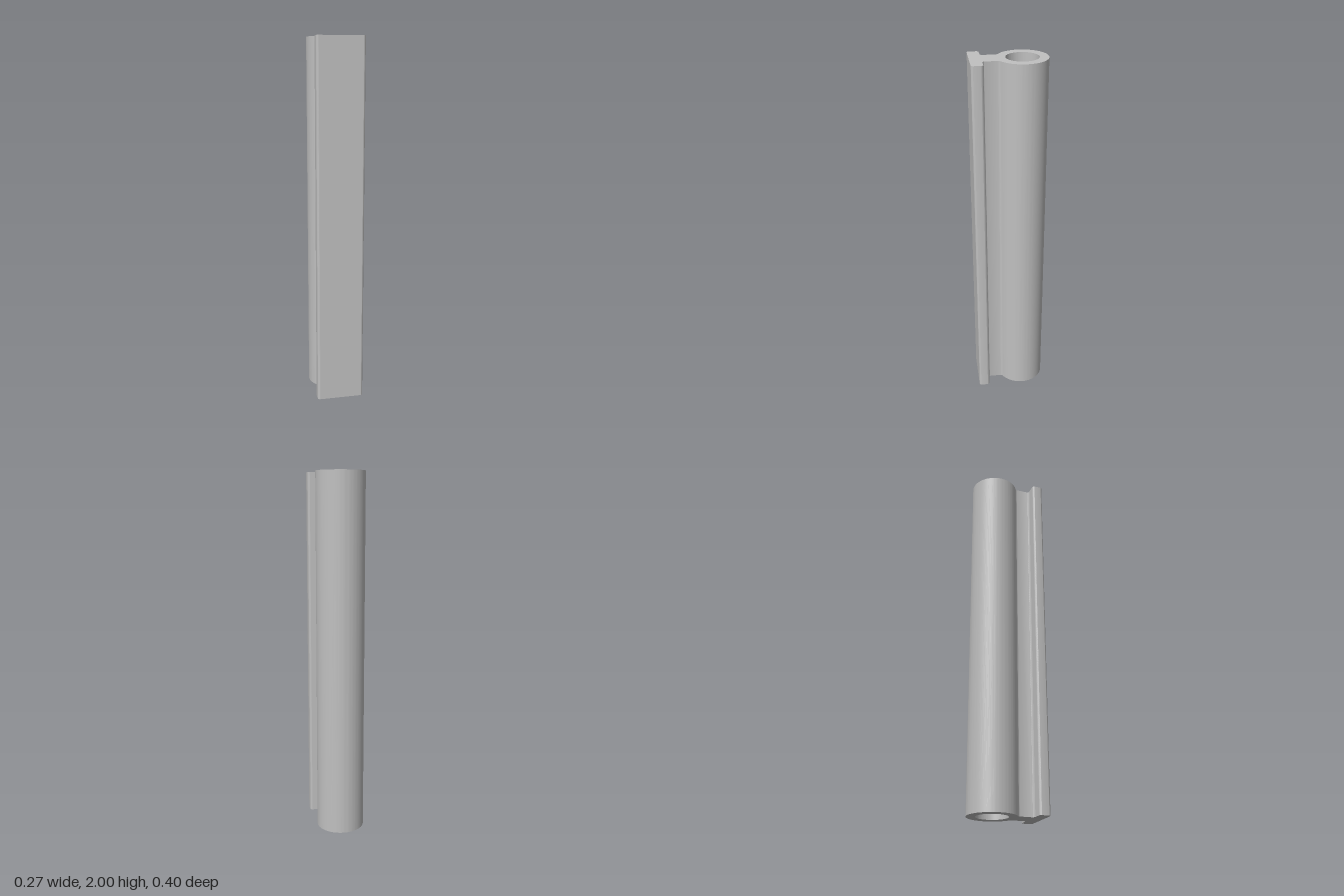
import * as THREE from 'three';
import { toCreasedNormals } from 'three/addons/utils/BufferGeometryUtils.js';

const LENGTH = 2;
const RING = { y: 0.067, outer: 0.133, inner: 0.085 };
const STEM = 0.058; // half width of the neck
const FLANGE = { half: 0.13, front: -0.2, back: -0.139 };
const ROUND = 0.013; // flange corner radius
const FILLET = 0.015; // neck-to-flange fillet

// Cross-section drawn in x and -z, counter-clockwise
function profile() {
  const s = new THREE.Shape();
  const { half, front, back } = FLANGE;
  const a = -1.033; // where the ring meets the neck
  const px = RING.outer * Math.cos(a);
  const py = RING.y + RING.outer * Math.sin(a);
  const cy = py - ((px - STEM) * Math.cos(a)) / -Math.sin(a);
  const q = Math.PI / 2;

  // flange front and right end
  s.moveTo(-half + ROUND, front);
  s.lineTo(half - ROUND, front);
  s.absarc(half - ROUND, front + ROUND, ROUND, -q, 0, false);
  s.absarc(half - ROUND, back - ROUND, ROUND, 0, q, false);
  // right side of the neck
  s.absarc(STEM + FILLET, back + FILLET, FILLET, -q, -2 * q, true);
  s.lineTo(STEM, cy - 0.009);
  s.quadraticCurveTo(STEM, cy, px, py);
  // ring
  s.absarc(0, RING.y, RING.outer, a, Math.PI - a, false);
  // left side of the neck
  s.quadraticCurveTo(-STEM, cy, -STEM, cy - 0.009);
  s.absarc(-STEM - FILLET, back + FILLET, FILLET, 0, -q, true);
  // flange left end
  s.absarc(-half + ROUND, back - ROUND, ROUND, q, 2 * q, false);
  s.absarc(-half + ROUND, front + ROUND, ROUND, 2 * q, 3 * q, false);

  // bore
  const bore = new THREE.Path();
  bore.absarc(0, RING.y, RING.inner, 0, Math.PI * 2, true);
  s.holes.push(bore);
  return s;
}

export function createModel() {
  const group = new THREE.Group();
  group.name = 'extrudedRail';
  const metal = new THREE.MeshStandardMaterial({ color: 0xc0c0c0 });
  metal.name = 'light grey';

  const extruded = new THREE.ExtrudeGeometry(profile(), {
    depth: LENGTH,
    bevelEnabled: false,
    curveSegments: 48,
  });
  extruded.rotateX(-Math.PI / 2);
  const rail = new THREE.Mesh(toCreasedNormals(extruded, 0.5), metal);
  rail.name = 'tubeRail';
  group.add(rail);
  return group;
}
